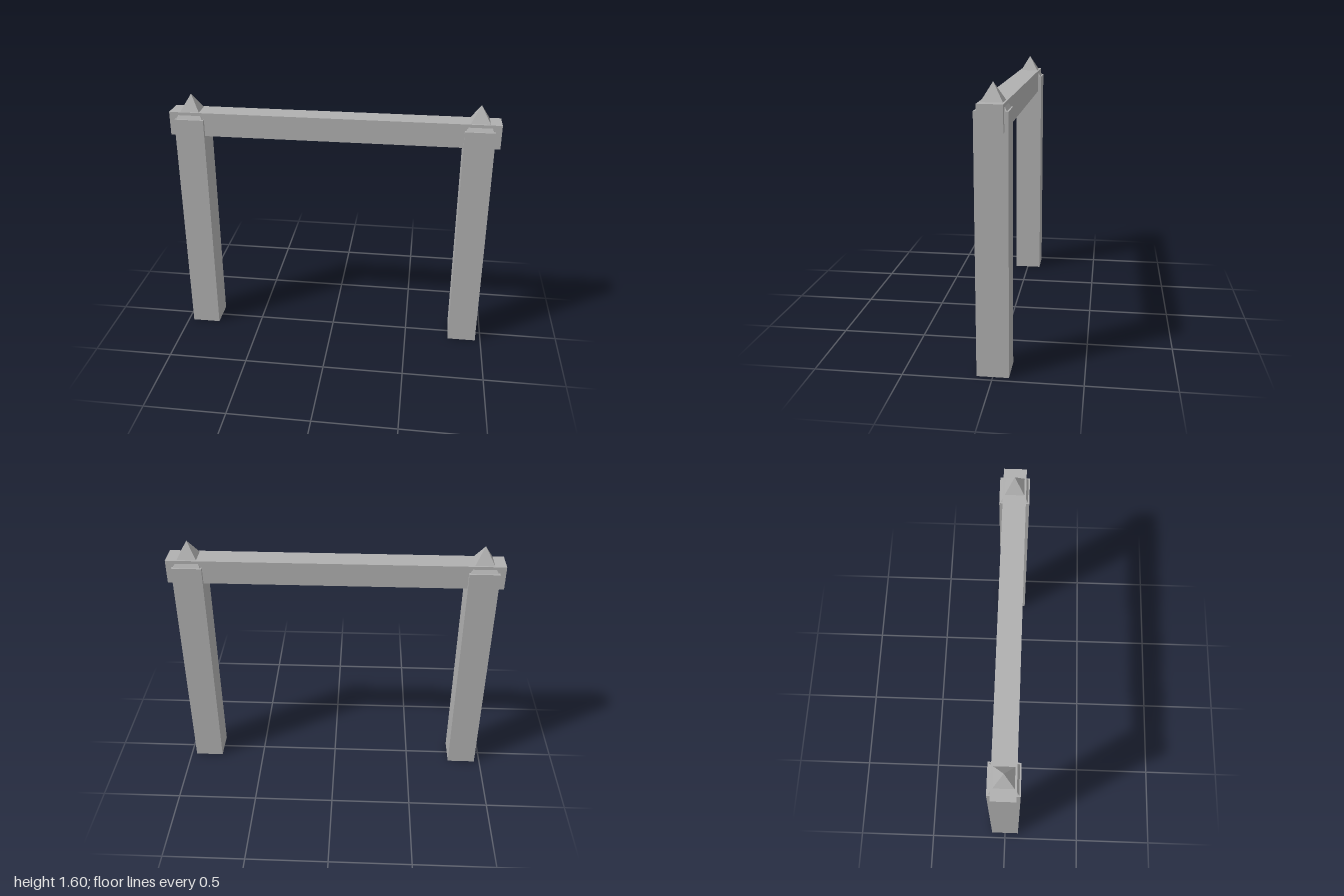
import * as THREE from 'three';

export function createModel() {
  const model = new THREE.Group();
  const stone = new THREE.MeshStandardMaterial({ color: 0xb0b0b0, side: THREE.DoubleSide, flatShading: true });
  stone.name = 'grey';

  const add = (name, geometry, x, y) => {
    const mesh = new THREE.Mesh(geometry, stone);
    mesh.name = name;
    mesh.position.set(x, y, 0);
    model.add(mesh);
  };

  // Hollow post: a box without its bottom face
  const postHeight = 1.46;
  const post = new THREE.BoxGeometry(0.18, postHeight, 0.18);
  const index = Array.from(post.index.array);
  index.splice(18, 6);
  post.setIndex(index);
  post.clearGroups();

  // Four-sided pyramid, slightly narrower than the post
  const capHalf = 0.082, capHeight = 0.14;
  const cap = new THREE.ConeGeometry(capHalf * Math.SQRT2, capHeight, 4, 1, true);
  cap.rotateY(Math.PI / 4);

  for (const [side, sign] of [['left', 1], ['right', -1]]) {
    add(side + 'Post', post, sign * 0.875, postHeight / 2);
    add(side + 'PostCap', cap, sign * 0.875, postHeight + capHeight / 2);
  }

  // Crossbeam running through both post heads
  add('crossbeam', new THREE.BoxGeometry(2, 0.146, 0.138), 0, 1.428);
  return model;
}
